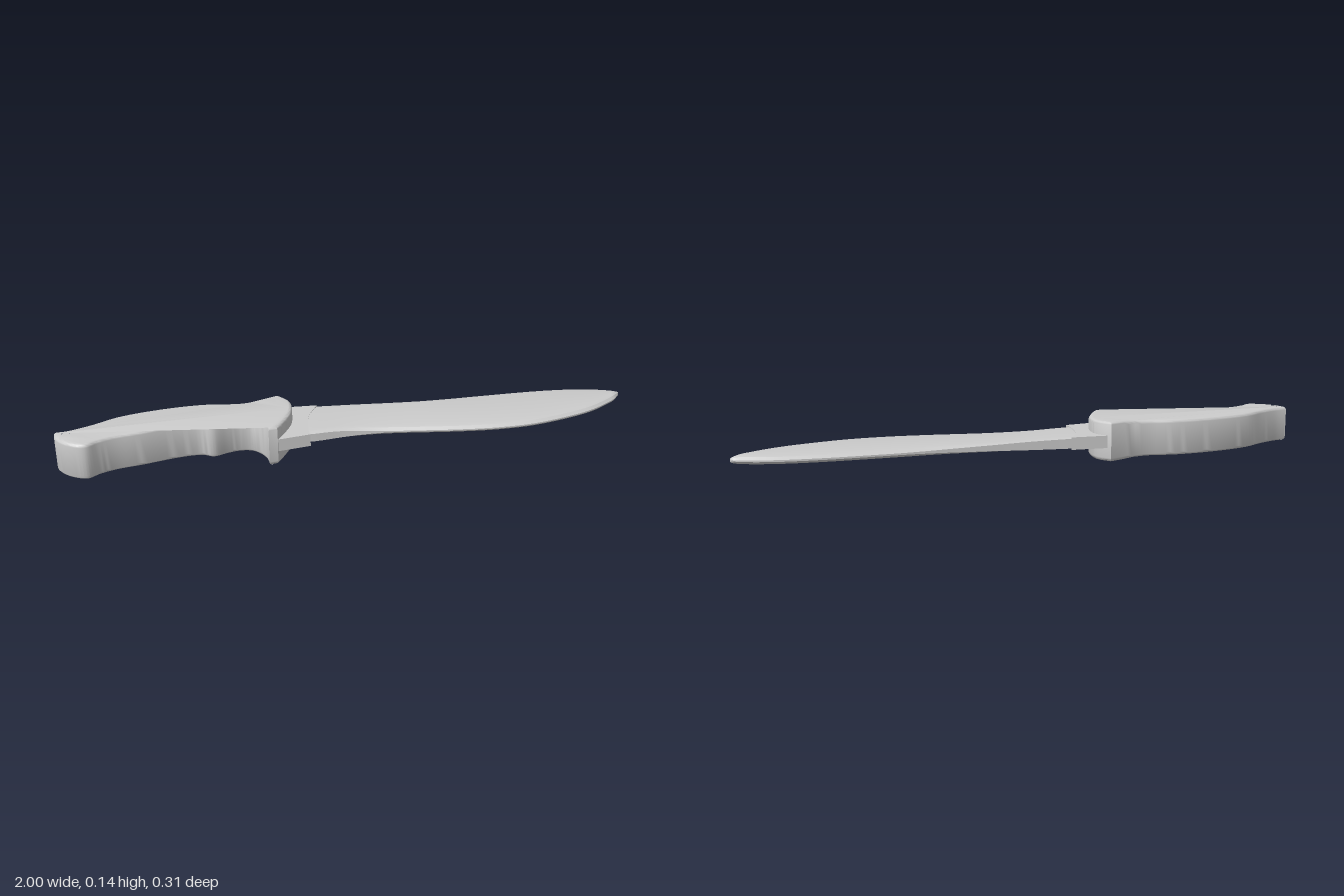
import * as THREE from 'three';
import { toCreasedNormals, mergeVertices } from 'three/addons/utils/BufferGeometryUtils.js';

const MID = 0.069; // height of the blade's centre plane
const material = new THREE.MeshStandardMaterial({ color: 0xcccccc });

// Closed outline from [x, z] runs: each run is a smooth curve, runs meet at corners.
function outline(runs) {
  const shape = new THREE.Shape();
  shape.moveTo(runs[0][0][0], -runs[0][0][1]);
  for (const run of runs) {
    const pts = run.map(([x, z]) => new THREE.Vector2(x, -z));
    if (pts.length === 2) shape.lineTo(pts[1].x, pts[1].y);
    else shape.splineThru(pts.slice(1));
  }
  return shape;
}

// Extrude an outline upward, centred on the blade plane.
function slab(shape, thickness, bevel) {
  const geo = new THREE.ExtrudeGeometry(shape, {
    depth: thickness - 2 * bevel, curveSegments: 5, bevelEnabled: bevel > 0,
    bevelThickness: bevel, bevelSize: bevel, bevelOffset: -bevel, bevelSegments: 4,
  });
  geo.translate(0, 0, bevel - thickness / 2);
  geo.rotateX(-Math.PI / 2);
  return geo;
}

function addMesh(group, name, geo, crease) {
  const mesh = new THREE.Mesh(toCreasedNormals(geo, crease), material);
  mesh.name = name;
  group.add(mesh);
}

// Grip with finger groove, hooked pommel and flared guard in one body.
function handleGeometry() {
  const shape = outline([
    [[-1, 0.04], [-0.95, 0.028], [-0.88, -0.005], [-0.8, -0.053], [-0.7, -0.085], [-0.585, -0.106],
      [-0.49, -0.111], [-0.4, -0.101], [-0.33, -0.108], [-0.25, -0.139]],
    [[-0.25, -0.139], [-0.217, -0.095], [-0.209, -0.05], [-0.219, 0.016], [-0.25, 0.085], [-0.275, 0.128]],
    [[-0.275, 0.128], [-0.305, 0.135]],
    [[-0.305, 0.135], [-0.313, 0.085], [-0.345, 0.037], [-0.39, 0.026], [-0.435, 0.037], [-0.485, 0.057],
      [-0.53, 0.038], [-0.61, 0.048], [-0.72, 0.08], [-0.8, 0.099], [-0.853, 0.123], [-0.895, 0.152],
      [-0.95, 0.13], [-0.99, 0.085], [-1, 0.04]],
  ]);
  // lanyard hole
  const hole = { x: -0.96, z: 0.062, r: 0.014 };
  shape.holes.push(new THREE.Path().absarc(hole.x, -hole.z, 0.008, 0, Math.PI * 2, true));
  const geo = slab(shape, 0.126, 0.012);
  const p = geo.attributes.position;
  for (let i = 0; i < p.count; i++) {
    // straighten the hole's wall
    const dx = p.getX(i) - hole.x, dz = p.getZ(i) - hole.z, d = Math.hypot(dx, dz);
    if (d < 0.0215) {
      p.setX(i, hole.x + dx / d * hole.r);
      p.setZ(i, hole.z + dz / d * hole.r);
    }
    // the guard is slightly thicker than the grip
    p.setY(i, p.getY(i) * (1 + 0.087 * THREE.MathUtils.smoothstep(p.getX(i), -0.38, -0.29)));
  }
  return geo;
}

// Smooth height curve z(x) through points, sampled by x.
function profile(points) {
  const fine = new THREE.SplineCurve(points.map(([x, z]) => new THREE.Vector2(x, z))).getPoints(300);
  return (x) => {
    let i = 1;
    while (i < fine.length - 1 && fine[i].x < x) i++;
    const a = fine[i - 1], b = fine[i];
    return THREE.MathUtils.lerp(a.y, b.y, THREE.MathUtils.clamp((x - a.x) / (b.x - a.x), 0, 1));
  };
}

// Blade: cross-sections with a ground cutting edge and a spine that thins forward.
function bladeGeometry() {
  const spine = profile([[-0.25, -0.127], [0.03, -0.129], [0.3, -0.138], [0.51, -0.152], [0.7, -0.161],
    [0.83, -0.157], [0.91, -0.144], [0.97, -0.125], [0.992, -0.114], [1, -0.104]]);
  const edge = profile([[-0.25, 0.09], [-0.16, 0.087], [-0.05, 0.074], [0.05, 0.075], [0.16, 0.085], [0.35, 0.104],
    [0.5, 0.108], [0.645, 0.09], [0.83, 0.029], [0.95, -0.046], [0.985, -0.083], [1, -0.104]]);
  const { smoothstep, lerp } = THREE.MathUtils;
  const N = 80, R = 12, pos = [], index = [];
  for (let i = 0; i <= N; i++) {
    const u = i / N, x = -0.25 + 1.249 * (1 - Math.pow(1 - u, 1.7));
    const zs = spine(x), ze = edge(x), width = ze - zs;
    const tip = Math.sqrt(Math.min(1, Math.max(0, (1 - x) / 0.03)));
    const t = lerp(0.02, 0.0145, smoothstep(x, -0.16, 0.2)) * lerp(0.25, 1, tip); // half thickness
    const b = Math.min(0.024, width * 0.4);
    const s = t * lerp(0.85, 0.2, smoothstep(x, 0, 0.5)); // spine half thickness
    const e = t * lerp(0.7, 0.15, smoothstep(x, -0.12, 0.15)); // edge half thickness
    const half = [[zs, s], [zs + b * 0.45, lerp(s, t, 0.7)], [zs + b, t],
      [ze - b, t], [ze - b * 0.45, lerp(e, t, 0.7)], [ze, e]];
    for (const [z, y] of half) pos.push(x, MID + y, z);
    for (const [z, y] of half.reverse()) pos.push(x, MID - y, z);
  }
  for (let i = 0; i < N; i++) {
    for (let j = 0; j < R; j++) {
      const a = i * R + j, b = i * R + (j + 1) % R;
      index.push(a, b, b + R, a, b + R, a + R);
    }
  }
  // end caps
  for (let j = 1; j < R - 1; j++) {
    index.push(0, j + 1, j, N * R, N * R + j, N * R + j + 1);
  }
  const geo = new THREE.BufferGeometry();
  geo.setAttribute('position', new THREE.Float32BufferAttribute(pos, 3));
  geo.setIndex(index);
  return mergeVertices(geo);
}

export function createModel() {
  const group = new THREE.Group();
  group.name = 'machete';

  const handle = handleGeometry();
  handle.translate(0, 0.0685, 0);
  addMesh(group, 'handle', handle, 0.6);

  // thick unsharpened block between guard and blade
  const ricasso = slab(outline([
    [[-0.275, 0.126], [-0.163, 0.103]],
    [[-0.163, 0.103], [-0.165, 0.06], [-0.155, -0.03], [-0.137, -0.08], [-0.112, -0.128]],
    [[-0.112, -0.128], [-0.24, -0.128]],
    [[-0.24, -0.128], [-0.275, 0.126]],
  ]), 0.043, 0);
  ricasso.translate(0, MID, 0);
  addMesh(group, 'ricasso', ricasso, 0.6);

  addMesh(group, 'blade', bladeGeometry(), 0.35);
  return group;
}
